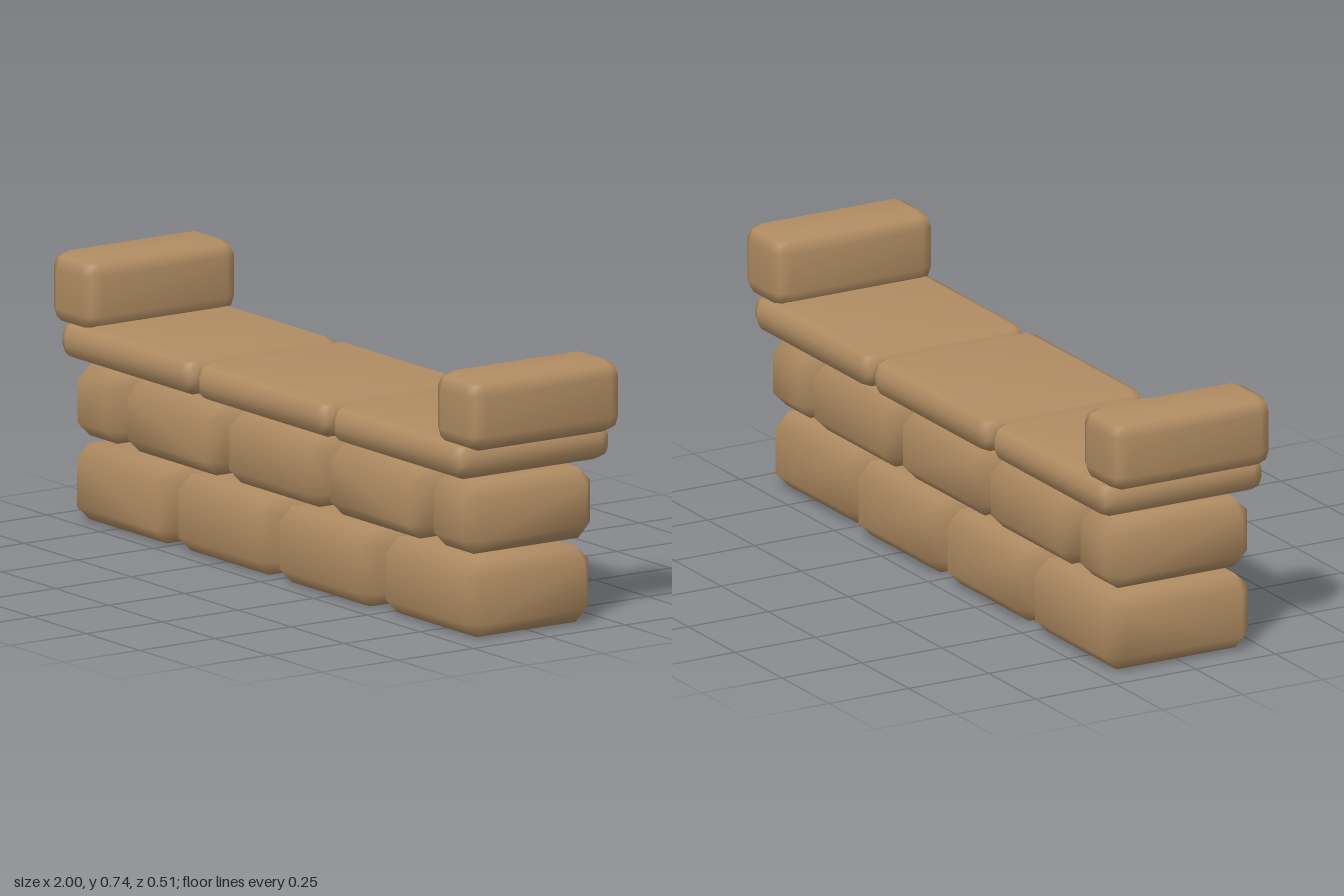
import * as THREE from 'three';
import { mergeVertices } from 'three/addons/utils/BufferGeometryUtils.js';
import { ConvexGeometry } from 'three/addons/geometries/ConvexGeometry.js';

// Weld coincident corners so the normals blend softly across the bevels
function soften(geometry) {
  geometry.deleteAttribute('normal');
  if (geometry.attributes.uv) geometry.deleteAttribute('uv');
  const welded = mergeVertices(geometry, 1e-4);
  welded.computeVertexNormals();
  return welded;
}

// Box with one flat cut along every edge
function chamferedBox(w, h, d, cut) {
  const points = [];
  for (const sx of [-1, 1]) for (const sy of [-1, 1]) for (const sz of [-1, 1]) {
    for (let axis = 0; axis < 3; axis++) {
      const inset = [cut, cut, cut];
      inset[axis] = 0;
      points.push(new THREE.Vector3(
        sx * (w / 2 - inset[0]), sy * (h / 2 - inset[1]), sz * (d / 2 - inset[2])));
    }
  }
  return soften(new ConvexGeometry(points));
}

// Box with every edge rounded in two steps
function roundedBox(w, h, d, r) {
  const geometry = new THREE.BoxGeometry(1, 1, 1, 3, 3, 3);
  const pos = geometry.attributes.position;
  const p = new THREE.Vector3(), core = new THREE.Vector3(), out = new THREE.Vector3();
  const outer = (v) => (Math.abs(v) > 0.4 ? Math.sign(v) : 0);
  for (let i = 0; i < pos.count; i++) {
    p.fromBufferAttribute(pos, i);
    core.set(Math.sign(p.x) * (w / 2 - r), Math.sign(p.y) * (h / 2 - r), Math.sign(p.z) * (d / 2 - r));
    out.set(outer(p.x), outer(p.y), outer(p.z)).normalize().multiplyScalar(r);
    core.add(out);
    pos.setXYZ(i, core.x, core.y, core.z);
  }
  return soften(geometry);
}

export function createModel() {
  const model = new THREE.Group();
  model.name = 'brickWall';
  const stone = new THREE.MeshStandardMaterial({ color: 0xb08c62 });
  stone.name = 'tan stone';

  function add(name, build, [x0, x1], [y0, y1], halfDepth, bevel) {
    const mesh = new THREE.Mesh(build(x1 - x0, y1 - y0, halfDepth * 2, bevel), stone);
    mesh.name = name;
    mesh.position.set((x0 + x1) / 2, (y0 + y1) / 2, 0);
    model.add(mesh);
  }

  // Bottom course: four long bricks
  [0.225, 0.222, 0.222, 0.204].forEach((depth, i) => {
    const x = -0.935 + i * 0.473;
    add(`bottomBrick${i + 1}`, chamferedBox, [x, x + 0.447], [0, 0.21], depth, 0.04);
  });

  // Middle course: three long bricks between two short ones
  const middle = [
    [-0.935, -0.725, 0.222], [-0.697, -0.255, 0.226], [-0.225, 0.22, 0.222],
    [0.25, 0.692, 0.222], [0.72, 0.93, 0.212],
  ];
  middle.forEach(([x0, x1, depth], i) =>
    add(`middleBrick${i + 1}`, chamferedBox, [x0, x1], [0.231, 0.427], depth, 0.04));

  // Flat coping slabs
  for (let i = 0; i < 3; i++) {
    const x = -0.947 + i * 0.634;
    add(`copingSlab${i + 1}`, roundedBox, [x, x + 0.62], [0.445, 0.552], 0.256, 0.041);
  }

  // Raised end blocks
  add('rightEndBlock', roundedBox, [-1, -0.8], [0.532, 0.735], 0.25, 0.046);
  add('leftEndBlock', roundedBox, [0.8, 1], [0.532, 0.735], 0.25, 0.046);

  return model;
}
